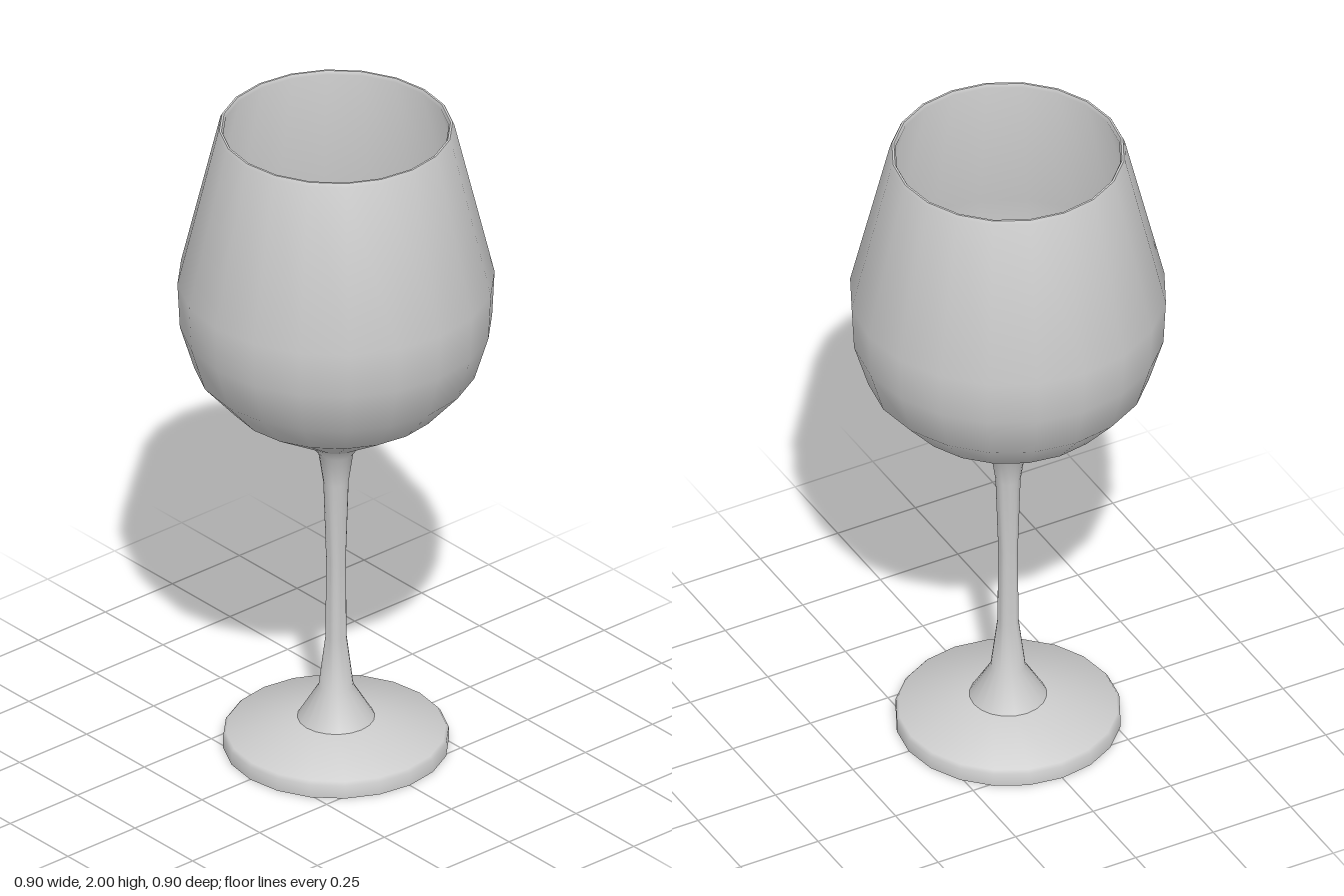
import * as THREE from 'three';
import { toCreasedNormals } from 'three/addons/utils/BufferGeometryUtils.js';

const SIDES = 20;
const material = new THREE.MeshStandardMaterial({ color: 0xcccccc });

// Turns a [radius, height] profile, keeping edges sharper than the crease angle
function turned(name, profile, crease = 0.8) {
  const points = profile.map(([r, y]) => new THREE.Vector2(r, y));
  const geometry = toCreasedNormals(new THREE.LatheGeometry(points, SIDES), crease);
  const mesh = new THREE.Mesh(geometry, material);
  mesh.name = name;
  return mesh;
}

export function createModel() {
  const glass = new THREE.Group();
  glass.name = 'wineGlass';

  // Flat underside, thin rim and shallow cone
  glass.add(turned('foot', [
    [0, 0], [0.32, 0], [0.32, 0.04], [0.312, 0.05], [0.11, 0.09],
  ]));

  // Slender stem flaring at both ends
  glass.add(turned('stem', [
    [0.11, 0.09], [0.05, 0.19], [0.03, 0.35], [0.028, 0.6],
    [0.036, 0.85], [0.05, 0.945], [0.075, 0.98],
  ]));

  // Outer wall, rounded lip, inner wall and the level inner floor
  glass.add(turned('bowl', [
    [0.075, 0.98], [0.305, 1.125], [0.402, 1.235], [0.443, 1.37], [0.45, 1.51],
    [0.336, 1.99], [0.331, 2], [0.325, 2], [0.32, 1.99],
    [0.434, 1.51], [0.428, 1.37], [0, 1.37],
  ]));

  return glass;
}
